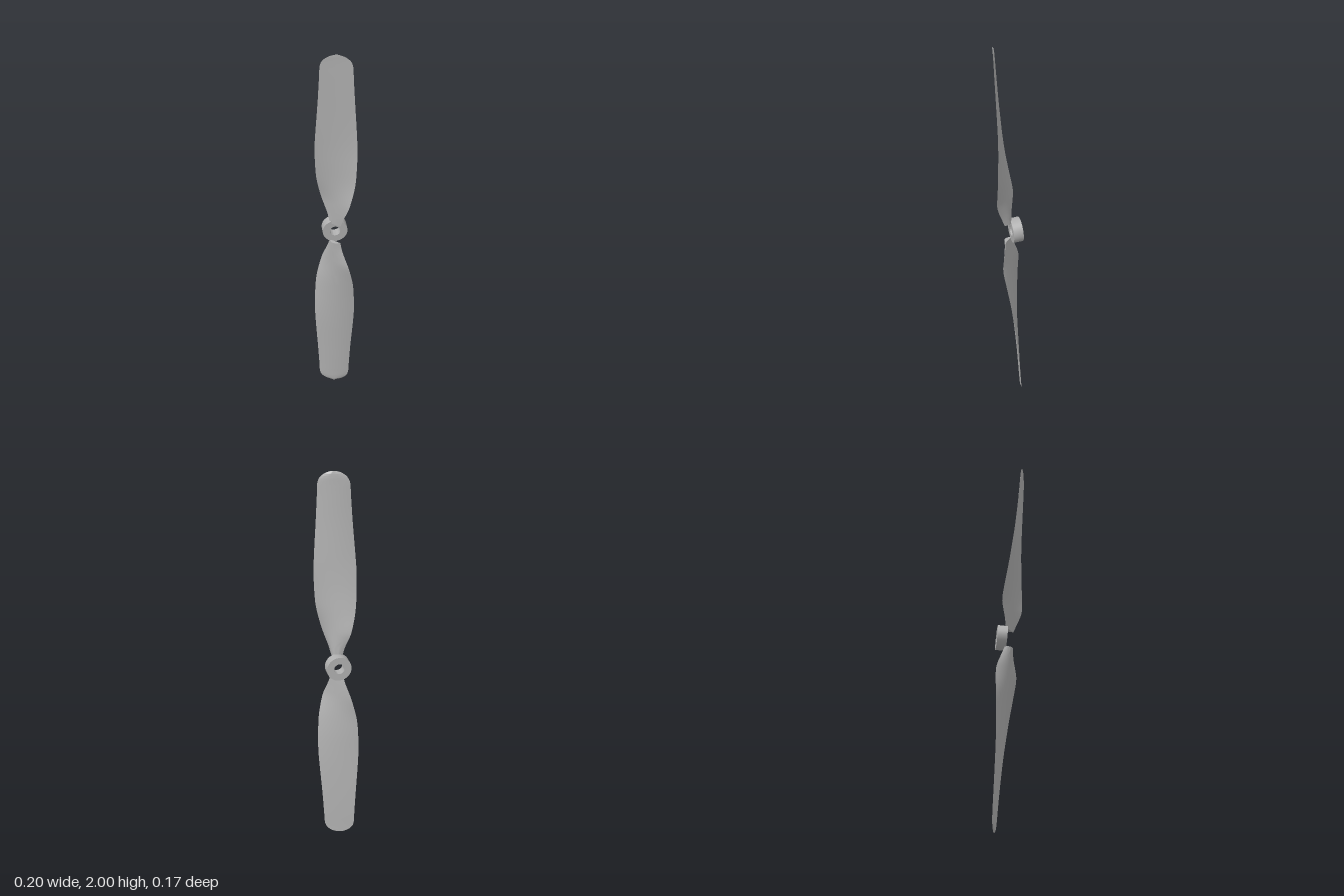
import * as THREE from 'three';
import { toCreasedNormals } from 'three/addons/utils/BufferGeometryUtils.js';

// Blade stations from root to tip: height, left edge x z, right edge x z, thickness
const STATIONS = [
  [1.05, -0.024, -0.018, 0.024, 0.024, 0.02],
  [1.10, -0.034, -0.025, 0.036, 0.043, 0.02],
  [1.15, -0.050, -0.036, 0.052, 0.062, 0.019],
  [1.20, -0.066, -0.042, 0.066, 0.073, 0.018],
  [1.30, -0.088, -0.027, 0.088, 0.075, 0.017],
  [1.40, -0.097, -0.010, 0.096, 0.075, 0.015],
  [1.50, -0.100, 0.005, 0.098, 0.074, 0.013],
  [1.60, -0.096, 0.019, 0.094, 0.075, 0.012],
  [1.75, -0.087, 0.036, 0.084, 0.080, 0.010],
  [1.88, -0.081, 0.048, 0.076, 0.085, 0.009],
  [1.94, -0.078, 0.053, 0.073, 0.087, 0.008],
  [1.97, -0.066, 0.058, 0.062, 0.086, 0.008],
  [1.99, -0.042, 0.065, 0.038, 0.082, 0.007],
  [2.00, -0.015, 0.071, 0.011, 0.077, 0.005],
];
const ROWS = 52, COLS = 12;

// Twisted blade with a flat face and a bulged back; s = -1 reflects it through the centre
function bladeGeometry(s) {
  const left = new THREE.CatmullRomCurve3(
    STATIONS.map(([y, x, z]) => new THREE.Vector3(x, y, z)), false, 'catmullrom');
  const right = new THREE.CatmullRomCurve3(
    STATIONS.map(([y, , , x, z]) => new THREE.Vector3(x, y, z)), false, 'catmullrom');
  const ring = COLS * 2, positions = [], index = [];

  for (let i = 0; i <= ROWS; i++) {
    const t = i / ROWS, f = t * (STATIONS.length - 1);
    const k = Math.min(Math.floor(f), STATIONS.length - 2);
    const thick = THREE.MathUtils.lerp(STATIONS[k][5], STATIONS[k + 1][5], f - k);
    const a = left.getPoint(t), b = right.getPoint(t);
    const dx = b.x - a.x, dz = b.z - a.z, len = Math.hypot(dx, dz);
    for (let j = 0; j < ring; j++) {
      const back = j > COLS;
      const u = back ? 2 - j / COLS : j / COLS;
      const bulge = back ? thick * 4 * u * (1 - u) / len : 0;
      positions.push(
        s * (a.x + dx * u + dz * bulge),
        1 + s * (a.y - 1),
        s * (a.z + dz * u - dx * bulge));
    }
  }

  const tri = (a, b, c) => (s > 0 ? index.push(a, b, c) : index.push(a, c, b));
  for (let i = 0; i < ROWS; i++) {
    for (let j = 0; j < ring; j++) {
      const a = i * ring + j, b = i * ring + (j + 1) % ring;
      tri(a, b, b + ring);
      tri(a, b + ring, a + ring);
    }
  }
  // Root and tip caps
  const top = ROWS * ring;
  for (let j = 1; j < ring - 1; j++) {
    tri(0, j + 1, j);
    tri(top, top + j, top + j + 1);
  }

  const geometry = new THREE.BufferGeometry();
  geometry.setAttribute('position', new THREE.Float32BufferAttribute(positions, 3));
  geometry.setIndex(index);
  return toCreasedNormals(geometry, 0.7);
}

export function createModel() {
  const model = new THREE.Group();
  model.name = 'propeller';
  const grey = new THREE.MeshStandardMaterial({ color: 0xb0b0b0 });
  grey.name = 'grey';

  for (const [name, s] of [['upperBlade', 1], ['lowerBlade', -1]]) {
    const blade = new THREE.Mesh(bladeGeometry(s), grey);
    blade.name = name;
    model.add(blade);
  }

  // Bored hub ring, sitting slightly tilted behind the blades
  const R = 0.063, r = 0.027, h = 0.025;
  const profile = [[r, -h], [R, -h], [R, h], [r, h], [r, -h]]
    .map(([x, y]) => new THREE.Vector2(x, y));
  const hub = new THREE.Mesh(
    toCreasedNormals(new THREE.LatheGeometry(profile, 32), 0.7), grey);
  hub.name = 'hub';
  hub.rotation.x = Math.PI / 2 + 0.07;
  hub.position.set(0.002, 1.005, -0.039);
  model.add(hub);

  return model;
}
